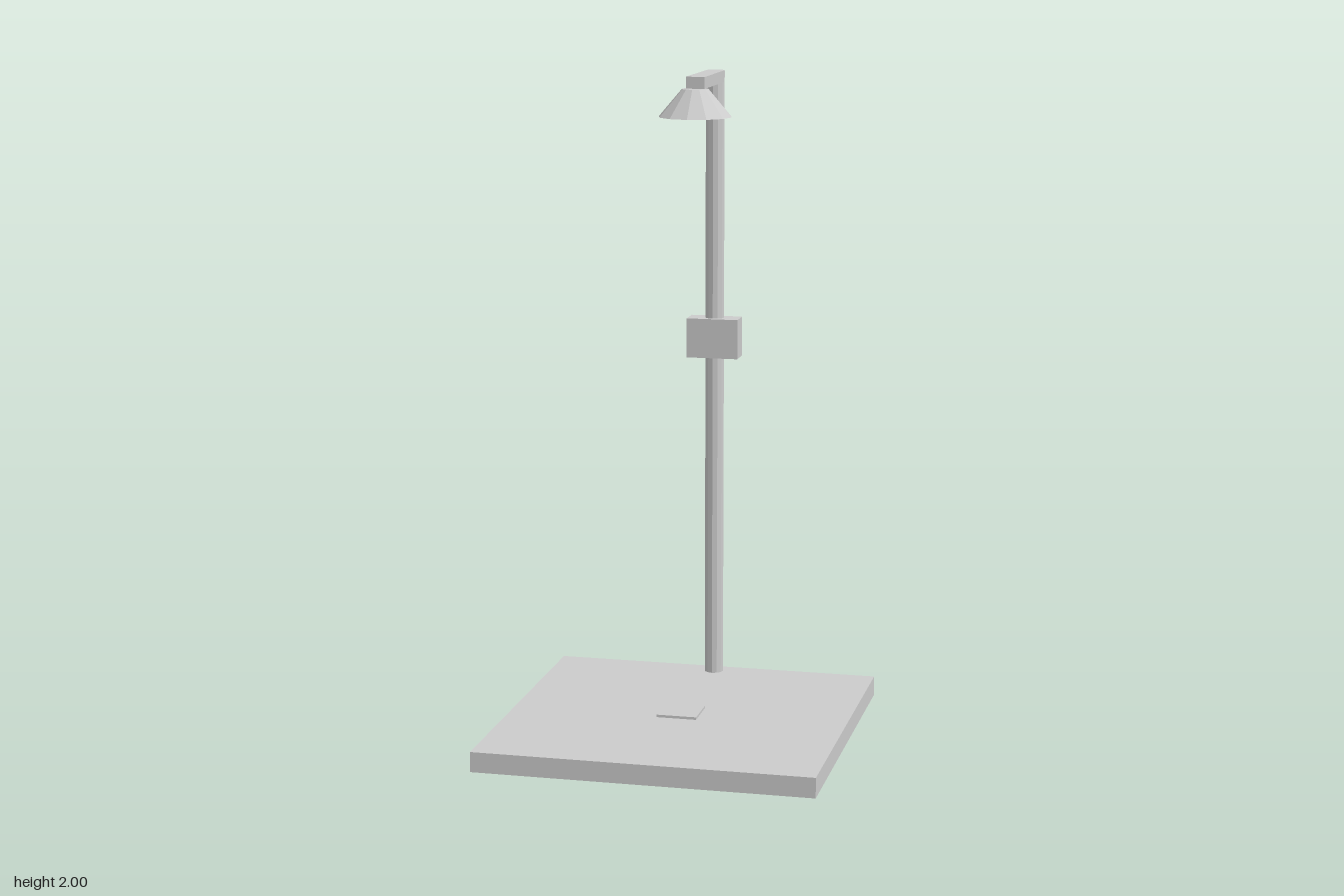
import * as THREE from 'three';

export function createModel() {
  const model = new THREE.Group();
  const grey = new THREE.MeshStandardMaterial({ color: 0xcccccc, flatShading: true });
  grey.name = 'light grey';

  const add = (name, geometry, x, y, z) => {
    const mesh = new THREE.Mesh(geometry, grey);
    mesh.name = name;
    mesh.position.set(x, y, z);
    model.add(mesh);
  };
  // Box given by its size, bottom height and z centre
  const box = (name, w, h, d, bottom, z) =>
    add(name, new THREE.BoxGeometry(w, h, d), 0, bottom + h / 2, z);
  // Twelve-sided cylinder or cone frustum
  const round = (name, rTop, rBottom, bottom, top, z) =>
    add(name, new THREE.CylinderGeometry(rTop, rBottom, top - bottom, 12), 0, (bottom + top) / 2, z);

  const poleZ = -0.47;
  const headZ = -0.19;

  // Floor tray and drain cover
  box('tray', 1.036, 0.062, 1.036, 0, 0);
  box('drain', 0.124, 0.008, 0.124, 0.062, 0);

  // Riser pole with the valve box around it
  round('pole', 0.03, 0.03, 0.062, 2, poleZ);
  box('valveBox', 0.164, 0.125, 0.073, 1.097, -0.4655);

  // Arm from the pole to the shower head
  box('arm', 0.058, 0.036, headZ - poleZ, 1.964, (headZ + poleZ) / 2);
  round('showerHead', 0.041, 0.113, 1.88, 1.964, headZ);

  return model;
}
